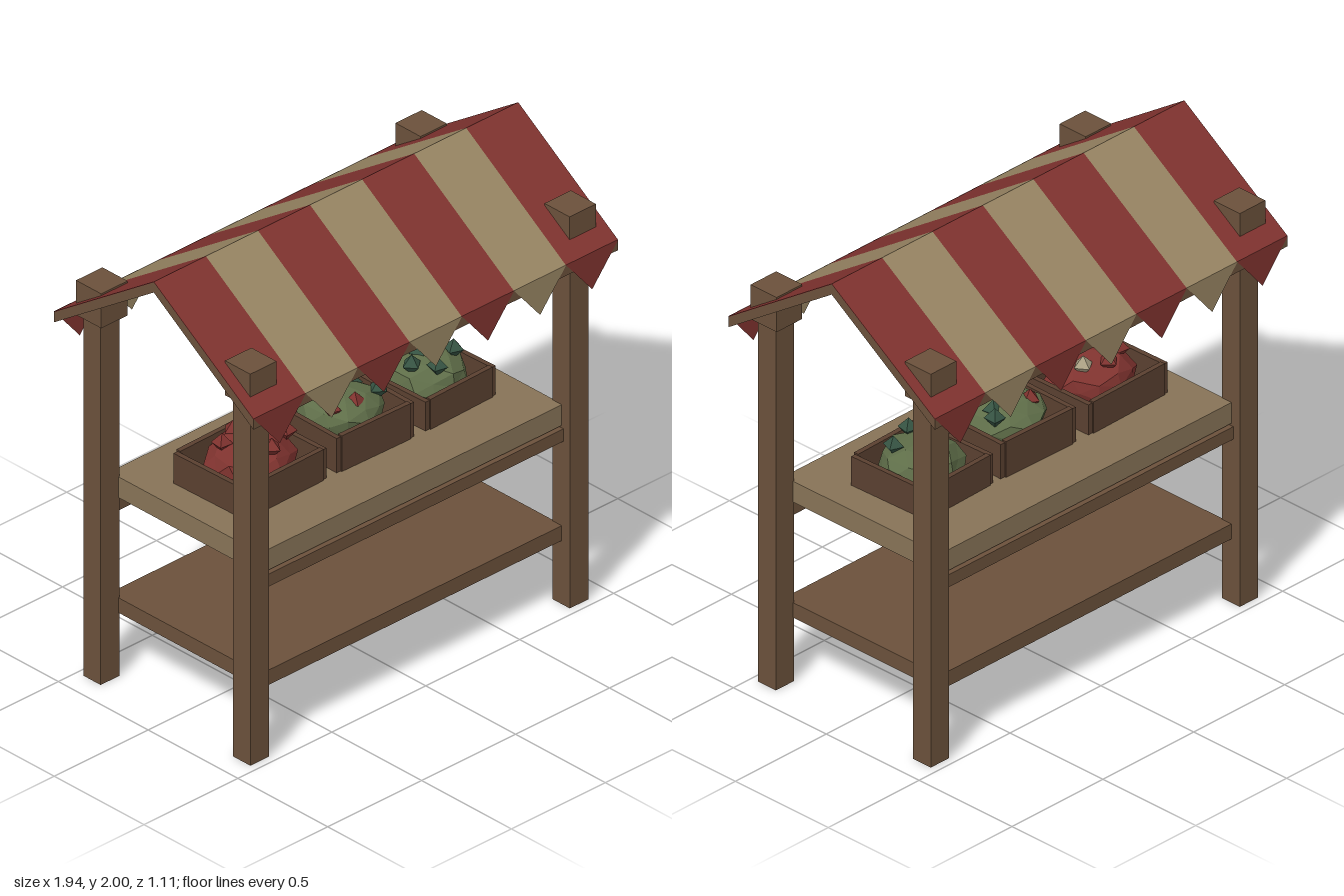
import * as THREE from 'three';

const paint = (color, side = THREE.FrontSide) =>
  new THREE.MeshStandardMaterial({ color, side, flatShading: true });

const WOOD = paint(0x6b513b), PLANK = paint(0x877357), CRATE = paint(0x5a4030);
const RED = paint(0x80332f, THREE.DoubleSide), CREAM = paint(0x988563, THREE.DoubleSide);
const GREEN = paint(0x5f6e49), DARK_GREEN = paint(0x365443), PALE = paint(0xaaa083);

function add(parent, name, geometry, material, x = 0, y = 0, z = 0) {
  const mesh = new THREE.Mesh(geometry, material);
  mesh.name = name;
  mesh.position.set(x, y, z);
  parent.add(mesh);
  return mesh;
}

// Box given by its size, bottom height and centre
const box = (parent, name, mat, w, h, d, x, y, z) =>
  add(parent, name, new THREE.BoxGeometry(w, h, d), mat, x, y + h / 2, z);

// Gable section swept along x, with vertical cuts at the eaves
function gable(apex, thickness, width) {
  const half = 0.555, eave = apex - 0.375;
  const shape = new THREE.Shape([
    [-half, eave], [-half, eave - thickness], [0, apex - thickness],
    [half, eave - thickness], [half, eave], [0, apex],
  ].map(([a, b]) => new THREE.Vector2(a, b)));
  return new THREE.ExtrudeGeometry(shape, { depth: width, bevelEnabled: false })
    .translate(0, 0, -width / 2).rotateY(Math.PI / 2);
}

// Uneven low-poly heap of produce
function heapGeometry(rx, ry, rz, seed) {
  const geo = new THREE.IcosahedronGeometry(1, 1);
  const p = geo.attributes.position;
  for (let i = 0; i < p.count; i++) {
    const x = p.getX(i), y = p.getY(i), z = p.getZ(i);
    const k = 1 + 0.1 * Math.sin(5 * x + 3 * y + seed) * Math.cos(4 * z + seed * 2);
    p.setXYZ(i, x * rx * k, y * ry * k, z * rz * k);
  }
  geo.computeVertexNormals();
  return geo;
}

// Open crate with a heap and loose pieces; piece = [x, z, material]
function crate({ name, x, w, h, yaw, heap, pieces }, seed) {
  const g = new THREE.Group();
  g.name = name;
  const d = 0.4, t = 0.022, base = 0.895;
  g.position.set(x, base, 0);
  g.rotation.y = yaw;
  box(g, 'crateFloor', CRATE, w - t, 0.02, d - t, 0, 0, 0);
  for (const s of [-1, 1]) {
    box(g, 'crateSide', CRATE, w - 2 * t, h, t, 0, 0, s * (d - t) / 2);
    box(g, 'crateEnd', CRATE, t, h - 0.006, d - 0.012, s * (w - t) / 2, 0, 0);
  }
  add(g, 'produceHeap', heapGeometry(w * 0.43, 0.1, 0.165, seed), heap, 0, h - 0.035, 0);
  pieces.forEach(([px, pz, mat], i) => {
    const piece = add(g, 'producePiece', new THREE.OctahedronGeometry(0.043), mat,
      px - x, 1.087 - base, pz);
    piece.rotation.y = i * 0.7 + seed;
  });
  return g;
}

export function createModel() {
  const model = new THREE.Group();
  model.name = 'marketStall';

  // Posts and their square caps
  for (const sx of [-1, 1]) for (const sz of [-1, 1]) {
    box(model, 'post', WOOD, 0.1, 1.63, 0.096, sx * 0.85, 0, sz * 0.417);
    box(model, 'postCap', WOOD, 0.14, 0.155, 0.14, sx * 0.85, 1.62, sz * 0.415);
  }

  // Counter, rails below it and lower shelf
  box(model, 'counter', PLANK, 1.61, 0.093, 0.84, 0, 0.802, 0);
  for (const s of [-1, 1]) box(model, 'counterRail', WOOD, 1.61, 0.056, 0.05, 0, 0.735, s * 0.405);
  box(model, 'lowerShelf', WOOD, 1.61, 0.067, 0.84, 0, 0.285, 0);

  // Roof boards, striped cover and pennants along both eaves
  const width = 1.94, count = 7, stripe = width / count;
  add(model, 'roofBoards', gable(1.997, 0.045, width), WOOD);
  const cover = gable(2, 0.003, stripe);
  const pennant = new THREE.ShapeGeometry(new THREE.Shape([
    new THREE.Vector2(-stripe / 2, 1.625), new THREE.Vector2(0, 1.46), new THREE.Vector2(stripe / 2, 1.625),
  ]));
  for (let i = 0; i < count; i++) {
    const x = (i - (count - 1) / 2) * stripe, mat = i % 2 ? CREAM : RED;
    add(model, 'roofStripe', cover, mat, x);
    for (const s of [-1, 1]) add(model, 'pennant', pennant, mat, x, 0, s * 0.557);
  }

  // Crates of produce
  [
    { name: 'leftCrate', x: -0.458, w: 0.445, h: 0.14, yaw: 0.02, heap: RED,
      pieces: [[-0.58, 0.09, RED], [-0.45, 0.11, RED], [-0.32, 0.06, RED],
        [-0.46, -0.09, RED], [-0.56, -0.05, RED], [-0.37, -0.04, PALE]] },
    { name: 'middleCrate', x: 0.028, w: 0.405, h: 0.16, yaw: -0.02, heap: GREEN,
      pieces: [[-0.08, 0.06, RED], [0.025, 0.08, RED], [-0.05, -0.07, RED],
        [0.11, -0.03, DARK_GREEN], [0.16, 0.07, DARK_GREEN], [0.15, -0.08, DARK_GREEN]] },
    { name: 'rightCrate', x: 0.472, w: 0.385, h: 0.135, yaw: 0.03, heap: GREEN,
      pieces: [[0.37, 0.03, DARK_GREEN], [0.43, 0.11, DARK_GREEN], [0.46, -0.02, DARK_GREEN],
        [0.57, 0.06, DARK_GREEN], [0.55, -0.08, DARK_GREEN]] },
  ].forEach((spec, i) => model.add(crate(spec, i + 1)));

  return model;
}
